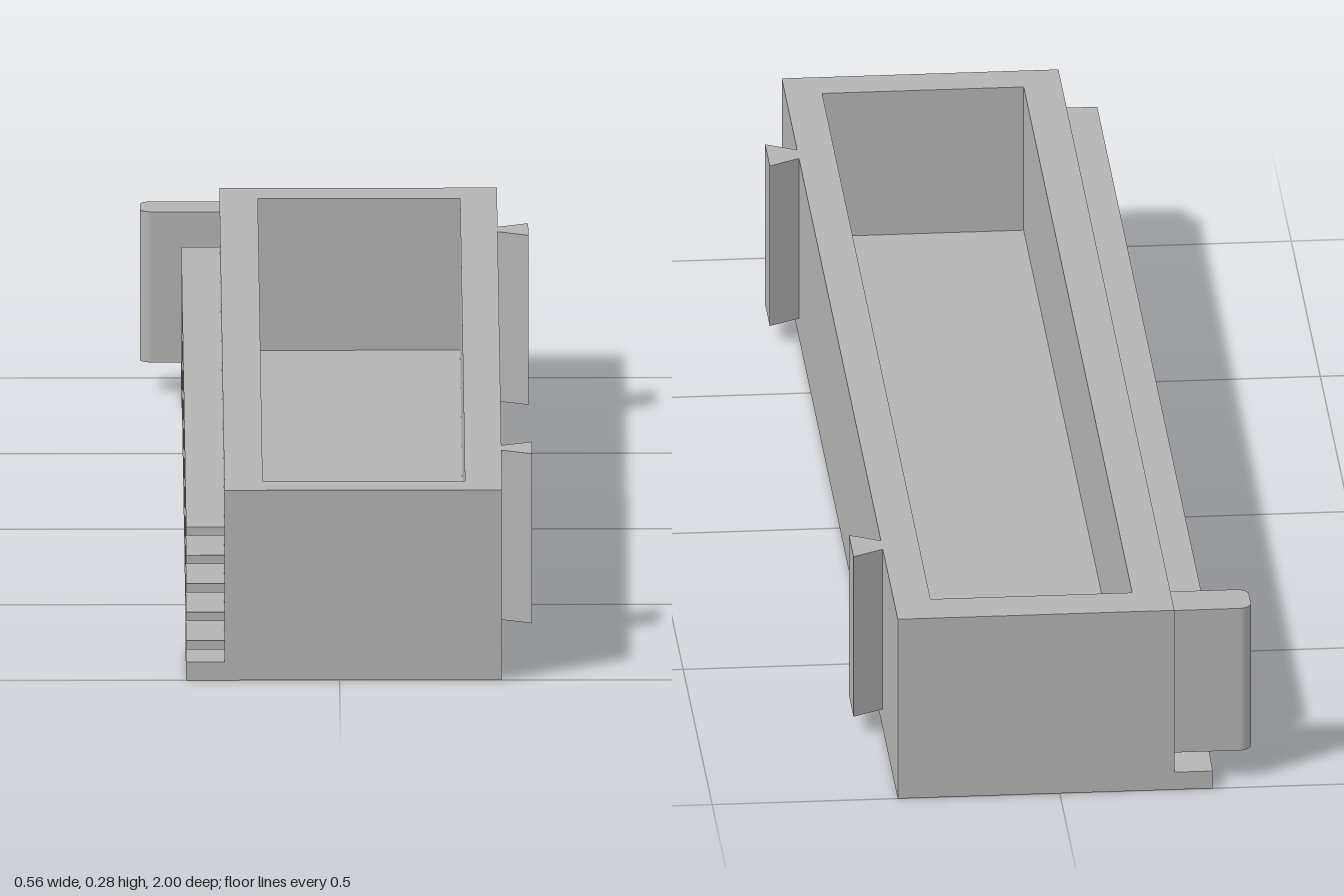
import * as THREE from 'three';

export function createModel() {
  const model = new THREE.Group();
  const grey = new THREE.MeshStandardMaterial({ color: 0xb4b4b4 });

  const add = (name, geometry) => {
    const mesh = new THREE.Mesh(geometry, grey);
    mesh.name = name;
    model.add(mesh);
    return mesh;
  };
  const box = (name, x0, x1, y0, y1, z0, z1) =>
    add(name, new THREE.BoxGeometry(x1 - x0, y1 - y0, z1 - z0)
      .translate((x0 + x1) / 2, (y0 + y1) / 2, (z0 + z1) / 2));
  const polygon = (points, Type = THREE.Shape) =>
    new Type(points.map(([a, b]) => new THREE.Vector2(a, b)));
  // Plan outline in (x, -z), raised from y0 to y1
  const raise = (shape, y0, y1) =>
    new THREE.ExtrudeGeometry(shape, { depth: y1 - y0, bevelEnabled: false, curveSegments: 6 })
      .rotateX(-Math.PI / 2).translate(0, y0, 0);

  const left = -0.165, right = 0.233, height = 0.279, floor = 0.056, outer = -0.22;

  // Trough: solid base with a rectangular ring of walls
  const outline = [[left, -1], [right, -1], [right, 1], [left, 1]];
  const walls = polygon(outline);
  walls.holes.push(polygon([[-0.11, -0.94], [-0.11, 0.93], [0.18, 0.93], [0.18, -0.94]], THREE.Path));
  add('troughWalls', raise(walls, floor, height));
  add('troughFloor', raise(polygon(outline), 0, floor));

  // Long horizontal fins along one side
  for (let i = 0; i < 5; i++) {
    const y = 0.043 + i * 0.0418;
    box('fin', outer, left, y, y + 0.013, -0.86, 0.99);
  }

  // Wedge feet under the fins, thin at the ends of the trough
  for (const s of [1, -1]) {
    const profile = polygon([[-s, 0], [-s * 0.8, 0], [-s * 0.8, 0.043], [-s, 0.027]]);
    add('foot', new THREE.ExtrudeGeometry(profile, { depth: left - outer, bevelEnabled: false })
      .rotateY(Math.PI / 2).translate(outer, 0, 0));
  }

  // Upright clip with rounded outer corners
  const r = 0.018, x0 = -0.279, a = 0.9, b = 0.97;
  const clip = new THREE.Shape();
  clip.moveTo(-0.16, a);
  clip.lineTo(-0.16, b);
  clip.lineTo(x0 + r, b);
  clip.absarc(x0 + r, b - r, r, Math.PI / 2, Math.PI, false);
  clip.absarc(x0 + r, a + r, r, Math.PI, Math.PI * 1.5, false);
  clip.closePath();
  add('clip', raise(clip, 0.045, 0.266));

  // Dovetail rails on the opposite side
  for (const z of [-0.725, 0.72]) {
    const tail = polygon([[right, -z - 0.016], [0.277, -z - 0.04], [0.277, -z + 0.04], [right, -z + 0.016]]);
    add('dovetail', raise(tail, 0.03, height));
  }

  return model;
}
